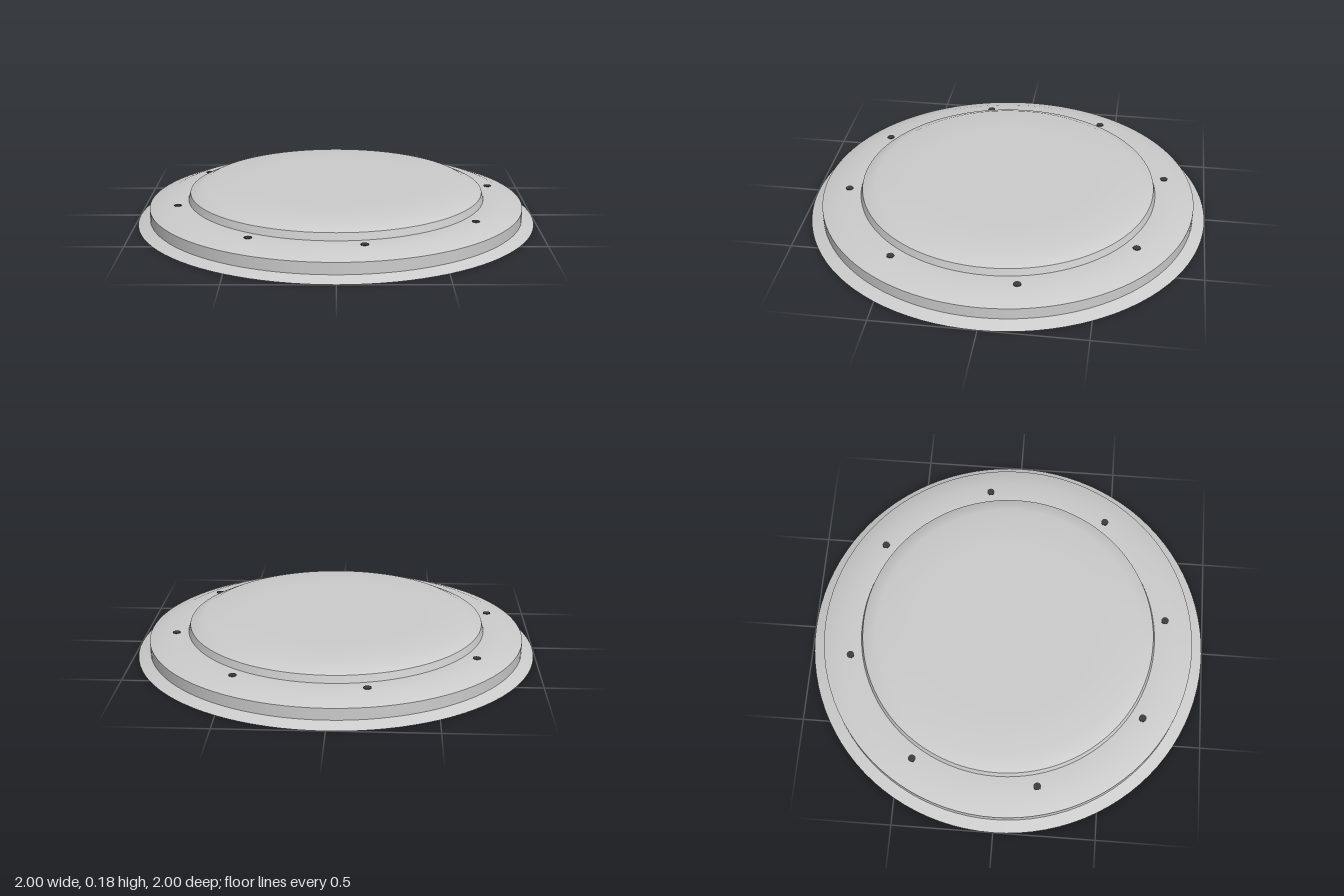
import * as THREE from 'three';

const shellMaterial = new THREE.MeshStandardMaterial({ color: 0xcccccc, side: THREE.DoubleSide });
shellMaterial.name = 'pale grey';
const holeMaterial = new THREE.MeshStandardMaterial({ color: 0x3c3c3c });
holeMaterial.name = 'dark grey';

// Each band is a separate lathe, so it is smooth inside and creased at its borders
const BANDS = {
  rimFlange: [[1, 0], [0.94, 0.023]],
  outerWall: [[0.94, 0.023], [0.94, 0.08]],
  shoulder: [[0.94, 0.08], [0.85, 0.112], [0.745, 0.112]],
  innerWall: [[0.745, 0.112], [0.735, 0.147]],
  domeTop: [[0.735, 0.147], [0.66, 0.182], [0.45, 0.182], [0, 0.182]],
};

export function createModel() {
  const model = new THREE.Group();
  model.name = 'steppedCover';

  for (const [name, profile] of Object.entries(BANDS)) {
    const points = profile.map(([r, y]) => new THREE.Vector2(r, y));
    const band = new THREE.Mesh(new THREE.LatheGeometry(points, 96), shellMaterial);
    band.name = name;
    model.add(band);
  }

  // Small bolt spots around the shoulder, just proud of both faces of the shell
  const spot = new THREE.CylinderGeometry(0.019, 0.019, 0.006, 12);
  for (let i = 0; i < 8; i++) {
    const angle = THREE.MathUtils.degToRad(119.7 + 45.9 * i);
    const bolt = new THREE.Mesh(spot, holeMaterial);
    bolt.name = 'boltSpot' + (i + 1);
    bolt.position.set(0.805 * Math.cos(angle), 0.112, 0.805 * Math.sin(angle));
    model.add(bolt);
  }
  return model;
}
